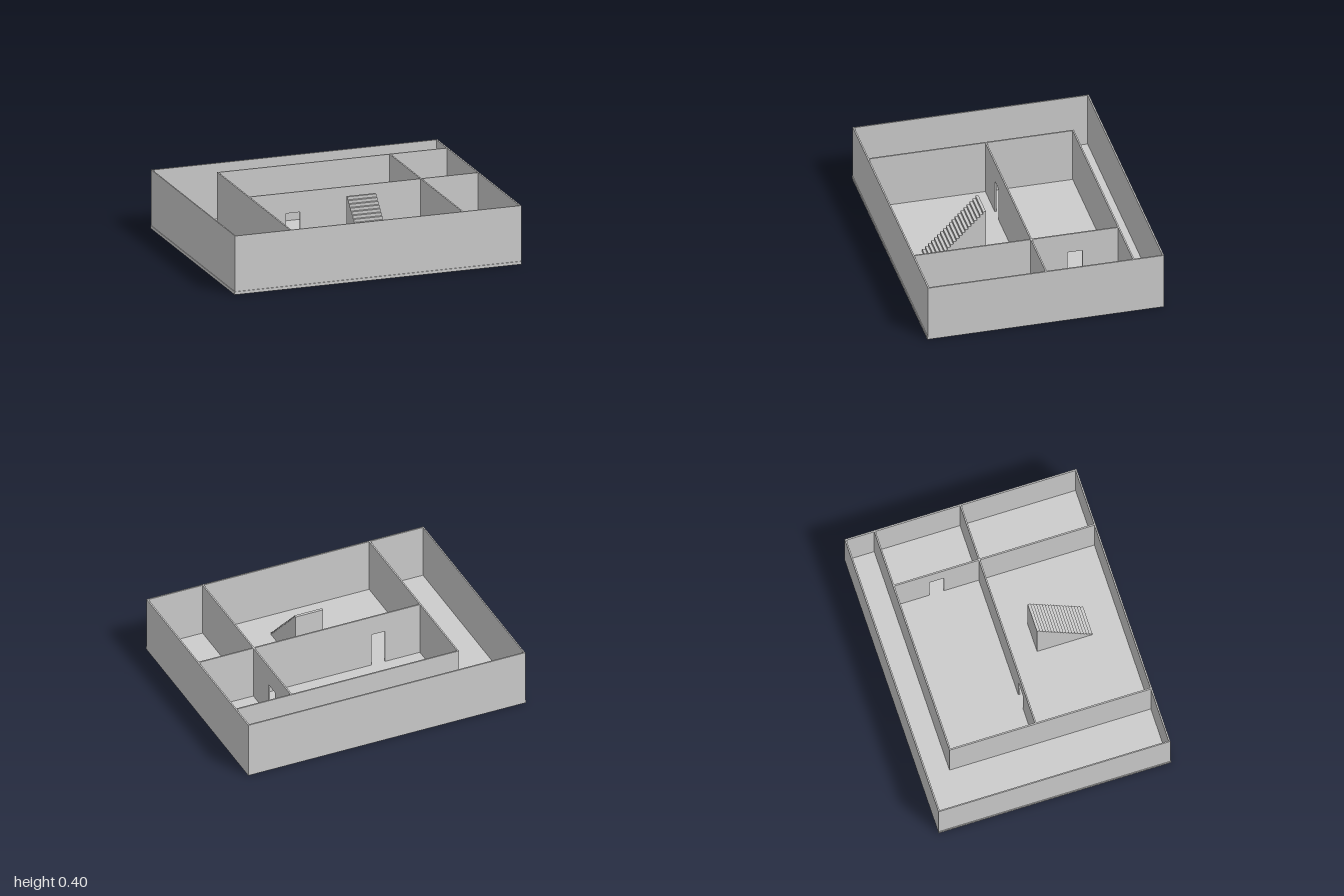
import * as THREE from 'three';

const FLOOR = 0.02, TOP = 0.4, DOOR_TOP = 0.26;

export function createModel() {
  const model = new THREE.Group();
  const material = new THREE.MeshStandardMaterial({ color: 0xcccccc, flatShading: true });

  const add = (name, geometry) => {
    const mesh = new THREE.Mesh(geometry, material);
    mesh.name = name;
    model.add(mesh);
    return mesh;
  };

  const box = (name, x0, x1, y0, y1, z0, z1) =>
    add(name, new THREE.BoxGeometry(x1 - x0, y1 - y0, z1 - z0)
      .translate((x0 + x1) / 2, (y0 + y1) / 2, (z0 + z1) / 2));

  // Upright wall running from a to b, with a doorway cut up from the floor
  const doorWall = (a, b, d0, d1) => {
    const outline = [[a, FLOOR], [d0, FLOOR], [d0, DOOR_TOP], [d1, DOOR_TOP],
      [d1, FLOOR], [b, FLOOR], [b, TOP], [a, TOP]];
    const shape = new THREE.Shape(outline.map(([u, v]) => new THREE.Vector2(u, v)));
    return new THREE.ExtrudeGeometry(shape, { depth: 0.01, bevelEnabled: false });
  };

  // Floor slab
  box('floor', -1, 1, 0, FLOOR, -0.8, 0.8);

  // Outer walls, the front and right ones set in slightly from the slab edge
  box('backWall', -0.996, 1, FLOOR, TOP, -0.8, -0.79);
  box('frontWall', -0.996, 1, FLOOR, TOP, 0.785, 0.795);
  box('leftWall', 0.99, 1, FLOOR, TOP, -0.79, 0.785);
  box('rightWall', -0.996, -0.988, FLOOR, TOP, -0.79, 0.785);

  // Corridor walls
  box('corridorBackWall', -0.61, 0.99, FLOOR, TOP, -0.6, -0.59);
  box('corridorSideWall', -0.61, -0.6, FLOOR, TOP, -0.59, 0.785);

  // Room partitions with doorways
  add('middlePartition', doorWall(-0.6, 0.99, -0.35, -0.25)).position.z = -0.01;
  const side = add('sidePartition', doorWall(-0.785, 0.59, 0.25, 0.35));
  side.rotation.y = Math.PI / 2; // wall length now runs along -z
  side.position.x = 0.59;

  // Solid staircase climbing towards the back
  const steps = 19, tread = 0.02, rise = (TOP - FLOOR) / steps;
  const profile = new THREE.Shape();
  profile.moveTo(-0.2, FLOOR);
  profile.lineTo(-0.2 - steps * tread, FLOOR);
  for (let i = 0; i < steps; i++) {
    const u = -0.2 - (steps - i) * tread, v = FLOOR + (i + 1) * rise;
    profile.lineTo(u, v);
    profile.lineTo(u + tread, v);
  }
  profile.closePath();
  const stairs = add('stairs', new THREE.ExtrudeGeometry(profile, { depth: 0.2, bevelEnabled: false }));
  stairs.rotation.y = Math.PI / 2;

  return model;
}
